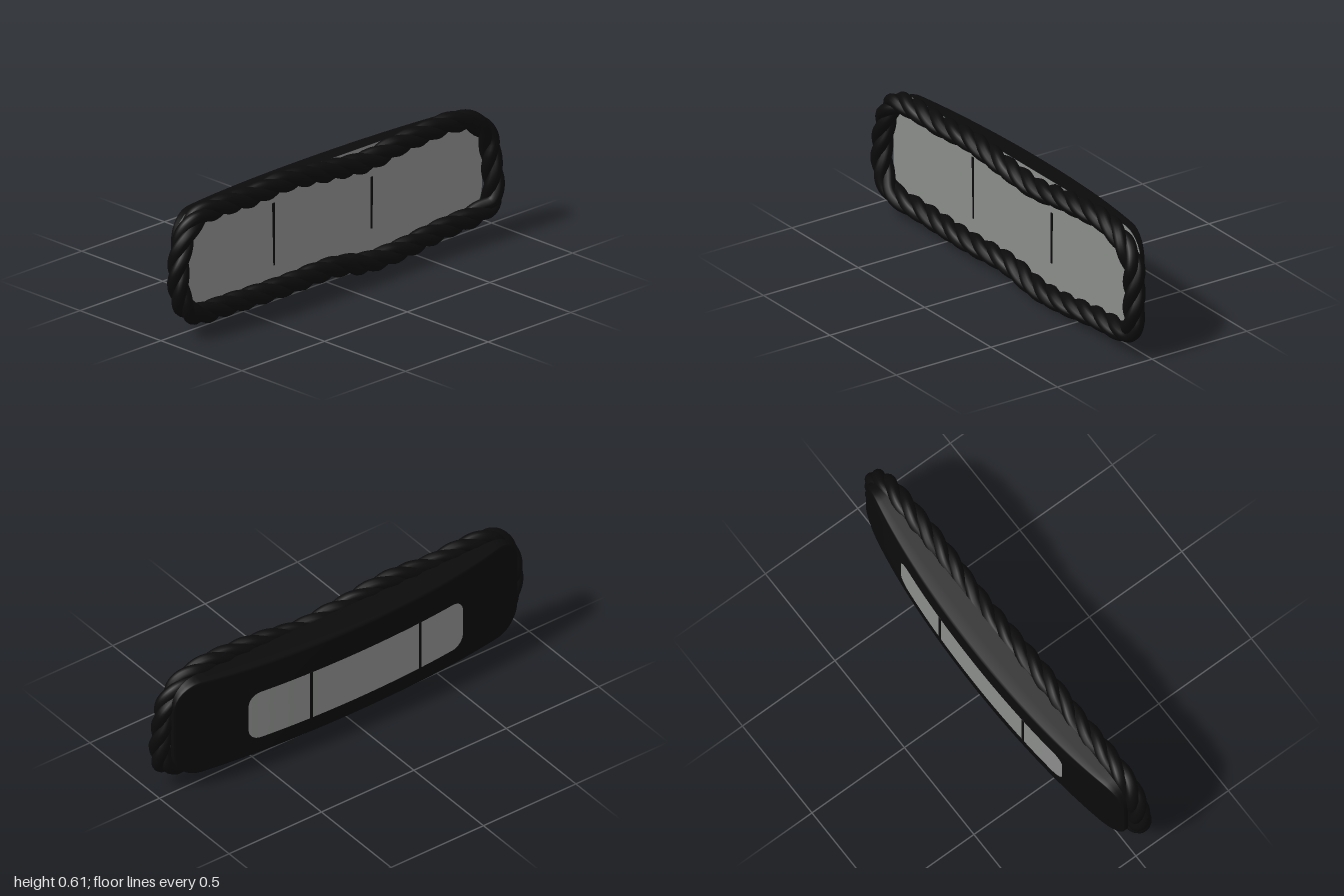
import * as THREE from 'three';

const black = new THREE.MeshStandardMaterial({ color: 0x0b0b0b });
black.name = 'black';
const grey = new THREE.MeshStandardMaterial({ color: 0x8a8c8a });
grey.name = 'smokyGrey';

// Depth of the bowed back surface at a given x
const backZ = (x) => -0.115 + 0.09 * x * x + 0.035 * x ** 4;

// Rounded rectangle, counter-clockwise, with finely divided long edges
function outline(halfW, y0, y1, r, longSegs = 36, cornerSegs = 8) {
  const pts = [];
  const corners = [
    [halfW - r, y0 + r, -Math.PI / 2], [halfW - r, y1 - r, 0],
    [-halfW + r, y1 - r, Math.PI / 2], [-halfW + r, y0 + r, Math.PI],
  ];
  corners.forEach(([cx, cy, start], k) => {
    for (let i = 0; i <= cornerSegs; i++) {
      const a = start + (i / cornerSegs) * Math.PI / 2;
      pts.push([cx + r * Math.cos(a), cy + r * Math.sin(a)]);
    }
    if (k % 2 === 1) { // long edge after corners 1 and 3
      const y = k === 1 ? y1 : y0;
      const dir = k === 1 ? 1 : -1;
      for (let i = 1; i < longSegs; i++) {
        pts.push([dir * (halfW - r) * (1 - 2 * i / longSegs), y]);
      }
    }
  });
  return pts;
}

// Skin a list of closed rings, running from front to back
function skin(rings) {
  const n = rings[0].length;
  const index = [];
  for (let i = 0; i < rings.length - 1; i++) {
    for (let j = 0; j < n; j++) {
      const a = i * n + j, b = i * n + (j + 1) % n;
      index.push(a, a + n, b, b, a + n, b + n);
    }
  }
  const g = new THREE.BufferGeometry();
  g.setAttribute('position', new THREE.Float32BufferAttribute(rings.flat(2), 3));
  g.setIndex(index);
  g.computeVertexNormals();
  return g;
}

function add(group, name, geometry, material) {
  const m = new THREE.Mesh(geometry, material);
  m.name = name;
  group.add(m);
  return m;
}

export function createModel() {
  const model = new THREE.Group();
  model.name = 'ropeFramedWindow';

  // Bowed housing: tapers with depth, rounded rim, closed back
  const yc = 0.319, frontZ = 0.01;
  const rim = outline(0.93, 0.068, 0.57, 0.13);
  const bodyRing = (t, sx, sy) => rim.map(([x, y]) => {
    const px = x * sx;
    const z = t === 0 ? frontZ : frontZ + (backZ(px) - frontZ) * t;
    const taper = 1 - 0.09 * (frontZ - z) / 0.125;
    return [px, yc + (y - yc) * sy * taper, z];
  });
  add(model, 'housing', skin([
    bodyRing(0, 1, 1), bodyRing(0.5, 1, 1), bodyRing(0.92, 1, 1), bodyRing(0.98, 0.997, 0.985),
    bodyRing(1, 0.99, 0.955), bodyRing(1, 0.99, 0.5), bodyRing(1, 0.99, 0),
  ]), black);

  // Flat front pane
  const pane = new THREE.Shape(rim.map(([x, y]) => new THREE.Vector2(x, y)));
  add(model, 'frontPane', new THREE.ShapeGeometry(pane), grey).position.z = frontZ + 0.002;

  // Curved back pane lying on the housing
  const backRim = outline(0.58, 0.168, 0.412, 0.06);
  const paneRing = (s) => backRim.map(([x, y]) => [x, 0.29 + (y - 0.29) * s, backZ(x) - 0.002]);
  add(model, 'backPane', skin([paneRing(1), paneRing(0.5), paneRing(0)]), grey);

  // Dividers on both panes
  for (const [x, y0, y1, lean] of [[-0.33, 0.17, 0.46, 0.015], [0.262, 0.18, 0.42, -0.01]]) {
    const front = add(model, 'frontDivider', new THREE.CylinderGeometry(0.008, 0.005, y1 - y0, 8), black);
    front.scale.z = 0.5;
    front.position.set(x, (y0 + y1) / 2, frontZ + 0.003);
    front.rotation.z = lean;
    const back = add(model, 'backDivider', new THREE.BoxGeometry(0.014, 0.25, 0.006), black);
    back.position.set(x, 0.29, backZ(x) - 0.001);
    back.rotation.y = -Math.atan(0.18 * x);
  }

  // Uneven centre line of the rope frame, counter-clockwise
  const path = new THREE.CatmullRomCurve3([
    [-0.86, 0.105, 0.064], [-0.65, 0.085, 0.05], [-0.3, 0.082, 0.056], [0, 0.083, 0.05],
    [0.2, 0.05, 0.05], [0.4, 0.058, 0.056], [0.65, 0.08, 0.05], [0.86, 0.097, 0.054],
    [0.935, 0.13, 0.06], [0.95, 0.22, 0.062], [0.943, 0.33, 0.055], [0.93, 0.43, 0.05],
    [0.85, 0.52, 0.053], [0.72, 0.56, 0.05], [0.55, 0.558, 0.052], [0.38, 0.545, 0.05],
    [0.2, 0.52, 0.048], [0, 0.535, 0.05], [-0.3, 0.564, 0.052], [-0.5, 0.55, 0.05],
    [-0.7, 0.556, 0.055], [-0.84, 0.54, 0.055], [-0.91, 0.47, 0.055], [-0.945, 0.36, 0.055],
    [-0.952, 0.26, 0.06], [-0.925, 0.16, 0.064],
  ].map((p) => new THREE.Vector3(...p)), true);
  path.arcLengthDivisions = 1000;

  // Three strands twisted around the centre line
  const rope = new THREE.Group();
  rope.name = 'ropeFrame';
  model.add(rope);
  const turns = 13, samples = 260, offset = 0.021;
  for (let s = 0; s < 3; s++) {
    const pts = [];
    for (let i = 0; i < samples; i++) {
      const u = i / samples;
      const p = path.getPointAt(u), t = path.getTangentAt(u);
      const out = new THREE.Vector3(t.y, -t.x, 0).normalize();
      const side = new THREE.Vector3().crossVectors(t, out);
      const a = 2 * Math.PI * (turns * u + s / 3);
      p.addScaledVector(out, offset * Math.cos(a)).addScaledVector(side, offset * Math.sin(a));
      pts.push(p);
    }
    const strand = new THREE.CatmullRomCurve3(pts, true);
    strand.arcLengthDivisions = 1500;
    add(rope, 'ropeStrand', new THREE.TubeGeometry(strand, 480, 0.029, 12, true), black);
  }
  return model;
}
